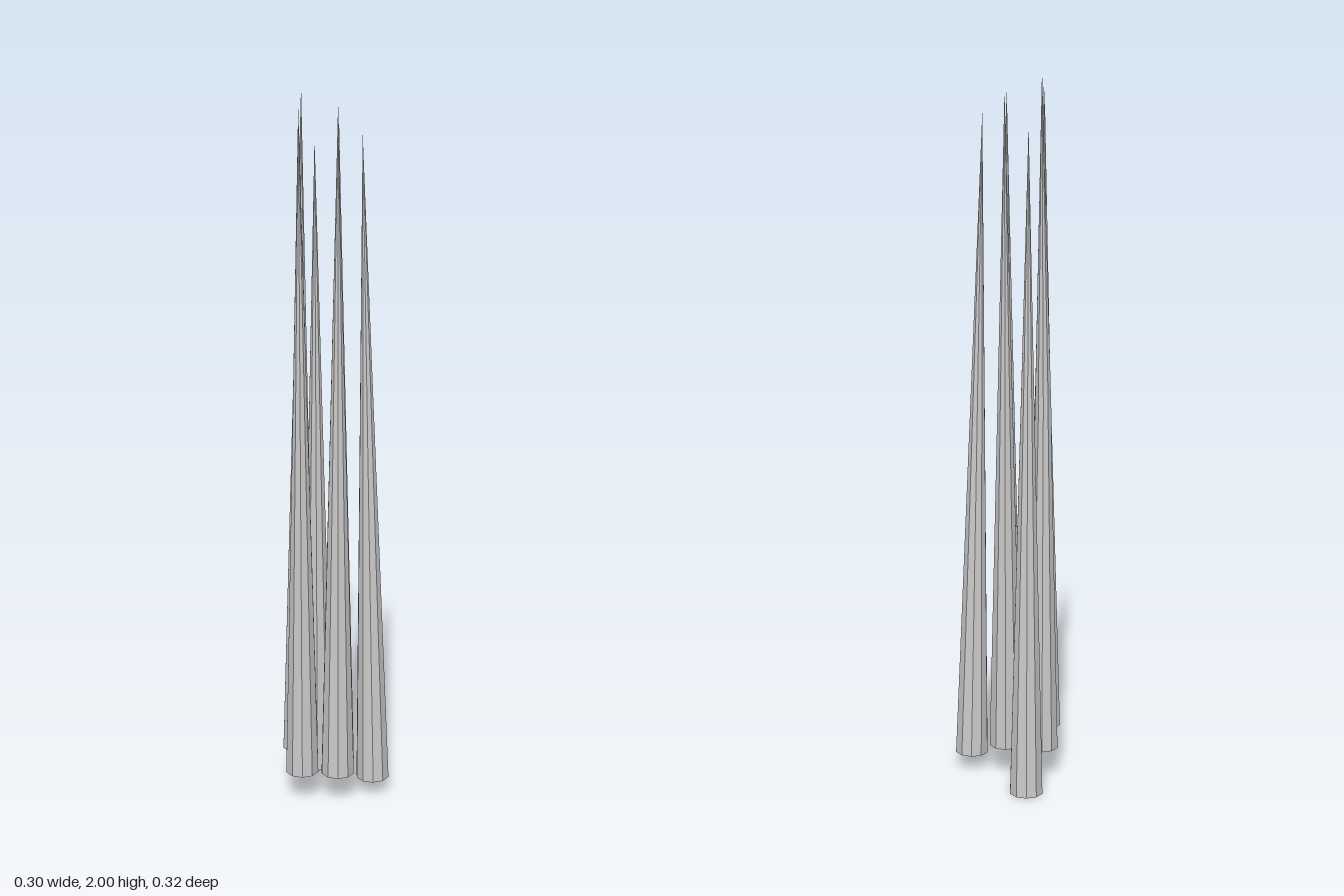
import * as THREE from 'three';

// Each spike: base centre (x, y, z), then tip (x, y, z)
const SPIKES = [
  { name: 'backSpike', base: [-0.053, 0, -0.115], tip: [-0.055, 1.86, -0.08] },
  { name: 'uprightSpike', base: [-0.098, 0.09, 0], tip: [-0.098, 1.95, 0.002] },
  { name: 'crossingSpike', base: [-0.106, 0.14, 0.05], tip: [-0.09, 2, -0.04] },
  { name: 'frontRightSpike', base: [-0.098, 0.09, 0.1], tip: [-0.098, 1.95, 0.144] },
  { name: 'middleSpike', base: [0.006, 0.09, 0.02], tip: [0.008, 1.95, -0.017] },
  { name: 'frontSpike', base: [0.003, 0.09, 0.112], tip: [0.003, 1.95, 0.112] },
  { name: 'leftSpike', base: [0.105, 0.05, 0.06], tip: [0.068, 1.89, 0.06] },
];
const RADIUS = 0.048;
const SIDES = 10;
const UP = new THREE.Vector3(0, 1, 0);

// Ten-sided closed cone leaning from its base centre to its tip
function makeSpike({ name, base, tip }, material) {
  const foot = new THREE.Vector3(...base);
  const lean = new THREE.Vector3(...tip).sub(foot);
  const length = lean.length();
  const geometry = new THREE.ConeGeometry(RADIUS, length, SIDES).translate(0, length / 2, 0);
  const spike = new THREE.Mesh(geometry, material);
  spike.name = name;
  spike.position.copy(foot);
  spike.quaternion.setFromUnitVectors(UP, lean.normalize());
  return spike;
}

export function createModel() {
  const group = new THREE.Group();
  group.name = 'spikeCluster';
  const material = new THREE.MeshStandardMaterial({ color: 0xcccccc, flatShading: true });
  for (const spike of SPIKES) group.add(makeSpike(spike, material));
  return group;
}
